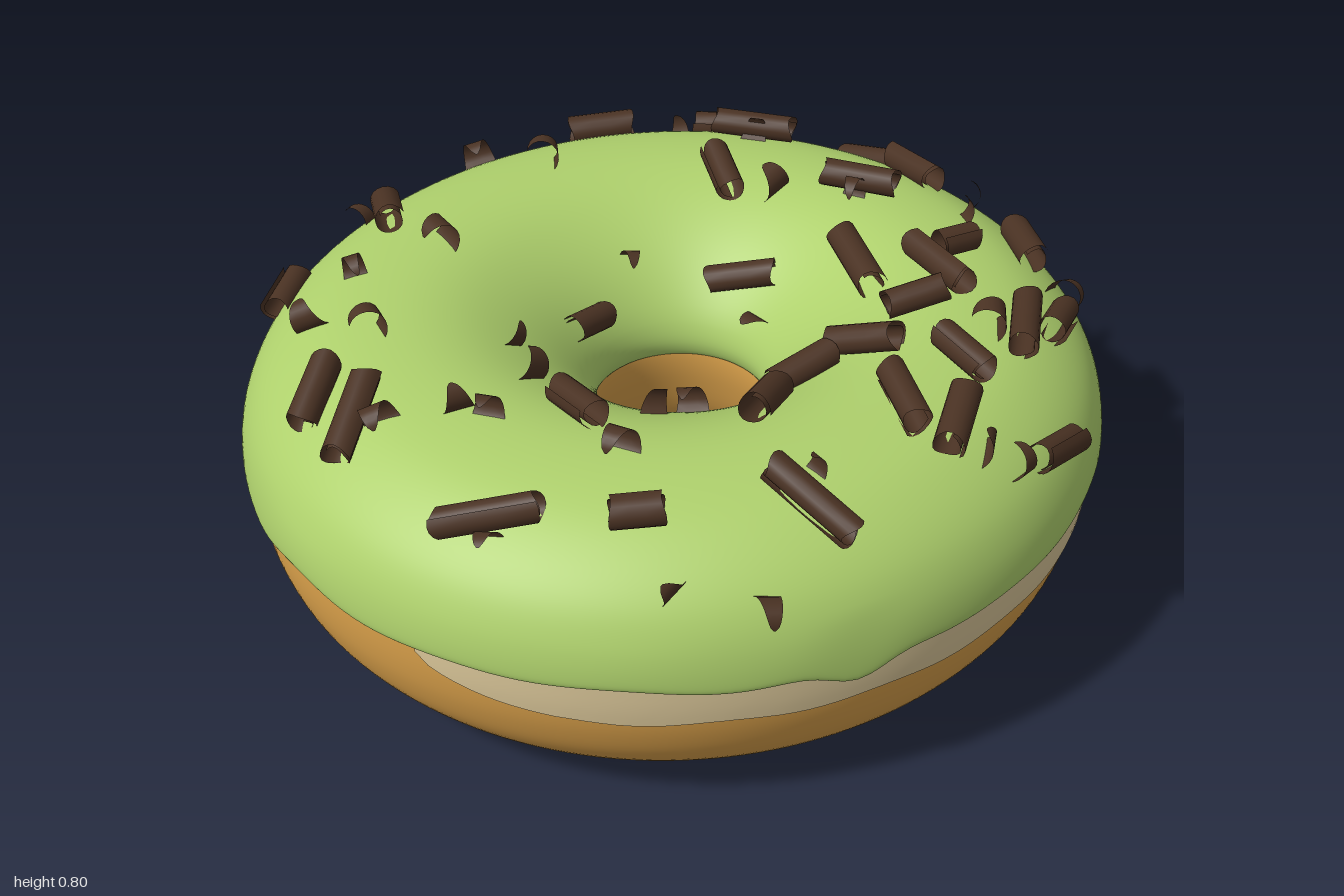
import * as THREE from 'three';

const icingMat = new THREE.MeshStandardMaterial({ color: 0xaed06c });
const doughMat = new THREE.MeshStandardMaterial({ color: 0xd9a04a });
const paleMat = new THREE.MeshStandardMaterial({ color: 0xdcc89a });
const chocolateMat = new THREE.MeshStandardMaterial({ color: 0x4a3223, side: THREE.DoubleSide });
icingMat.name = 'green icing';
doughMat.name = 'fried dough';
paleMat.name = 'pale dough';
chocolateMat.name = 'chocolate';

// Smooth grid surface: fn(row, column) gives a point; columns may wrap round
function grid(rows, cols, fn, wrap) {
  const pos = [], idx = [];
  const across = wrap ? cols : cols + 1;
  for (let j = 0; j <= rows; j++)
    for (let i = 0; i < across; i++) pos.push(...fn(j / rows, i / cols));
  for (let j = 0; j < rows; j++)
    for (let i = 0; i < cols; i++) {
      const a = j * across + i, b = j * across + (i + 1) % across;
      idx.push(a, a + across, b, b, a + across, b + across);
    }
  const g = new THREE.BufferGeometry();
  g.setAttribute('position', new THREE.Float32BufferAttribute(pos, 3));
  g.setIndex(idx);
  g.computeVertexNormals();
  return g;
}

const spline = pts => new THREE.CatmullRomCurve3(pts.map(([r, y]) => new THREE.Vector3(r, y, 0)), false, 'centripetal');

// Ring profiles as (radius, height)
const doughCurve = spline([[0.225, 0.45], [0.215, 0.38], [0.225, 0.3], [0.27, 0.17], [0.36, 0.07], [0.48, 0.02],
  [0.6, 0.003], [0.68, 0.007], [0.78, 0.04], [0.87, 0.1], [0.93, 0.18], [0.96, 0.26], [0.973, 0.34], [0.975, 0.45]]);
const icingCurve = spline([[0.95, 0.425], [0.98, 0.413], [0.993, 0.42], [0.995, 0.45], [0.98, 0.52], [0.94, 0.595],
  [0.87, 0.66], [0.77, 0.71], [0.62, 0.73], [0.5, 0.712], [0.38, 0.655], [0.28, 0.575], [0.215, 0.49], [0.2, 0.43], [0.215, 0.39], [0.24, 0.39]]);

// Slightly oval outline with an off-centre hole
const oval = (r, a) => r * (1 - 0.02 * r * Math.sin(2 * a));
function ringPoint(r, y, a) {
  const s = oval(r, a), k = Math.max(0, 1 - r);
  return [s * Math.cos(a) + 0.01 * k, y, s * Math.sin(a) - 0.04 * k];
}

// Wavy lower rim of the icing, with a few drips
const bump = (a, centre, width) => Math.exp(-(((a - centre) / width) ** 2));
function rimDrop(a) {
  return 0.005 * Math.sin(9 * a) + 0.004 * Math.sin(14 * a + 1)
    - 0.05 * bump(a, 0.91, 0.09) - 0.02 * bump(a, 2.4, 0.12) - 0.02 * bump(a, 4.2, 0.12);
}

// Strip of pale dough just outside the wall, between two angles in degrees
function paleStrip(from, to, low, high, taper) {
  const samples = doughCurve.getPoints(300).slice(200);
  return grid(5, 120, (v, u) => {
    const a = THREE.MathUtils.degToRad(from + (to - from) * u);
    const edge = Math.min(1, Math.min(u, 1 - u) / taper);
    const bottom = low + (1 - Math.sqrt(edge)) * (high - low) * 0.7 + 0.004 * Math.sin(17 * a) * edge;
    const y = bottom + (high - bottom) * v;
    const p = samples.reduce((m, q) => Math.abs(q.y - y) < Math.abs(m.y - y) ? q : m);
    return ringPoint(p.x + 0.005, y, a);
  }, false);
}

// Rolled shaving along x: a tight spiral with slightly ragged ends
function rollGeometry(length, seed) {
  return grid(22, 3, (v, u) => {
    const a = v * 8.4 + seed, r = 0.039 - 0.013 * v;
    const half = length / 2 * (1 + 0.07 * Math.sin(a * 2 + seed));
    return [(u * 2 - 1) * half, r * Math.cos(a), r * Math.sin(a)];
  }, false);
}

// Open curl narrowing to a point
function curlGeometry(seed) {
  const width = 0.045 + 0.012 * Math.sin(seed * 3), sweep = 4.4 + Math.sin(seed * 5);
  return grid(16, 3, (v, u) => {
    const a = Math.PI * 0.8 + v * sweep, r = 0.044 - 0.008 * v;
    const half = width * (0.06 + 0.94 * Math.pow(1 - v, 0.6));
    return [(u * 2 - 1) * half + 0.02 * v * Math.sin(seed), r * Math.cos(a), r * Math.sin(a)];
  }, false);
}

// x, z, heading in degrees, length
const rolls = [
  [-.40, -.76, -20, .16], [-.09, -.87, 20, .17], [0, -.79, 0, .2], [.29, -.91, 50, .18], [.43, -.73, 50, .18],
  [.71, -.72, 35, .13], [.32, -.56, 5, .18], [.74, -.48, 70, .17], [-.02, -.54, 60, .15], [.09, -.30, -15, .17],
  [.37, -.27, 60, .22], [.57, -.24, 45, .2], [.86, -.19, -75, .15], [.79, -.09, 85, .2], [-.76, -.16, 60, .15],
  [-.93, .08, 95, .14], [.19, .04, 50, .15], [.45, .06, 15, .18], [.33, .13, -40, .16], [.68, .09, 40, .15],
  [.58, .29, 60, .18], [.29, .33, 90, .17], [.91, .2, -50, .17], [-.09, .46, 45, .16], [-.67, .53, 100, .17],
  [-.545, .615, 95, .21], [-.17, .83, -20, .22], [.46, .64, 28, .22], [.54, -.095, -30, .14], [.13, .775, -20, .11],
  [.59, -.35, -45, .1], [-.23, -.08, -55, .13], [.7, .31, 90, .18]];

// x, z, heading in degrees
const curls = [
  [-.25, -.87, 30], [0, -.73, 0], [-.65, -.5, -20], [-.47, -.48, 70], [.09, -.52, 120], [.57, -.51, 60],
  [.56, -.74, 100], [.3, -.5, 10], [.86, -.35, -60], [-.17, -.26, -20], [.145, -.2, 30], [-.87, -.21, 90],
  [-.6, -.06, 40], [-.74, .13, -25], [-.785, .26, 170], [-.34, .18, 130], [-.26, .32, 120], [-.62, .33, 50],
  [.1, .27, 10], [.06, .39, -30], [-.34, .52, 140], [-.26, .58, 0], [.05, .615, 10], [-.47, .63, -30],
  [-.155, .89, -10], [.21, .87, 110], [.41, .85, -10], [.71, -.06, 80], [.83, .32, 120], [.75, .35, 80], [.44, .58, 30]];

// Lay a shaving on the icing, turned to its heading and to the slope
const topSamples = icingCurve.getPoints(400).slice(90, 350);
function placeOnIcing(mesh, x, z, heading, lift) {
  const flat = Math.hypot(x, z), k = Math.max(0, 1 - flat);
  const px = x - 0.01 * k, pz = z + 0.04 * k, a = Math.atan2(pz, px);
  const gap = q => Math.abs(oval(q.x, a) - Math.hypot(px, pz));
  let best = 1;
  for (let i = 1; i < topSamples.length - 1; i++) if (gap(topSamples[i]) < gap(topSamples[best])) best = i;
  const t = topSamples[best + 1].clone().sub(topSamples[best - 1]).normalize();
  const n = new THREE.Vector3(t.y * Math.cos(a), -t.x, t.y * Math.sin(a)).normalize();
  const h = THREE.MathUtils.degToRad(heading);
  const d = new THREE.Vector3(Math.cos(h), 0, Math.sin(h));
  d.addScaledVector(n, -d.dot(n)).normalize();
  mesh.quaternion.setFromRotationMatrix(new THREE.Matrix4().makeBasis(d, n, d.clone().cross(n)));
  mesh.position.set(x, topSamples[best].y + n.y * lift, z);
}

export function createModel() {
  const model = new THREE.Group();
  model.name = 'doughnut';
  const add = (parent, name, geometry, material) => {
    const mesh = new THREE.Mesh(geometry, material);
    mesh.name = name;
    parent.add(mesh);
    return mesh;
  };

  // Dough ring
  const doughPts = doughCurve.getPoints(64);
  add(model, 'dough', grid(64, 160, (v, u) => {
    const p = doughPts[Math.round(v * 64)];
    return ringPoint(p.x, p.y, u * Math.PI * 2);
  }, true), doughMat);

  // Pale band round the side, and a small patch on the left
  add(model, 'paleBand', paleStrip(-114, 108, 0.313, 0.43, 0.08), paleMat);
  add(model, 'palePatch', paleStrip(154, 174, 0.345, 0.385, 0.4), paleMat);

  // Icing cap with wavy rim
  const icingPts = icingCurve.getPoints(80);
  add(model, 'icing', grid(80, 200, (v, u) => {
    const p = icingPts[Math.round(v * 80)], a = u * Math.PI * 2;
    const rim = p.x > 0.6 ? THREE.MathUtils.clamp((0.54 - p.y) / 0.11, 0, 1) : 0;
    return ringPoint(p.x, p.y + rim * rimDrop(a), a);
  }, true), icingMat);

  // Chocolate shavings
  const shavings = new THREE.Group();
  shavings.name = 'chocolateShavings';
  model.add(shavings);
  rolls.forEach(([x, z, heading, length], i) =>
    placeOnIcing(add(shavings, 'chocolateRoll', rollGeometry(length, i * 1.7), chocolateMat), x, z, heading, 0.033));
  curls.forEach(([x, z, heading], i) =>
    placeOnIcing(add(shavings, 'chocolateCurl', curlGeometry(i + 1), chocolateMat), x, z, heading, 0.03));

  return model;
}
